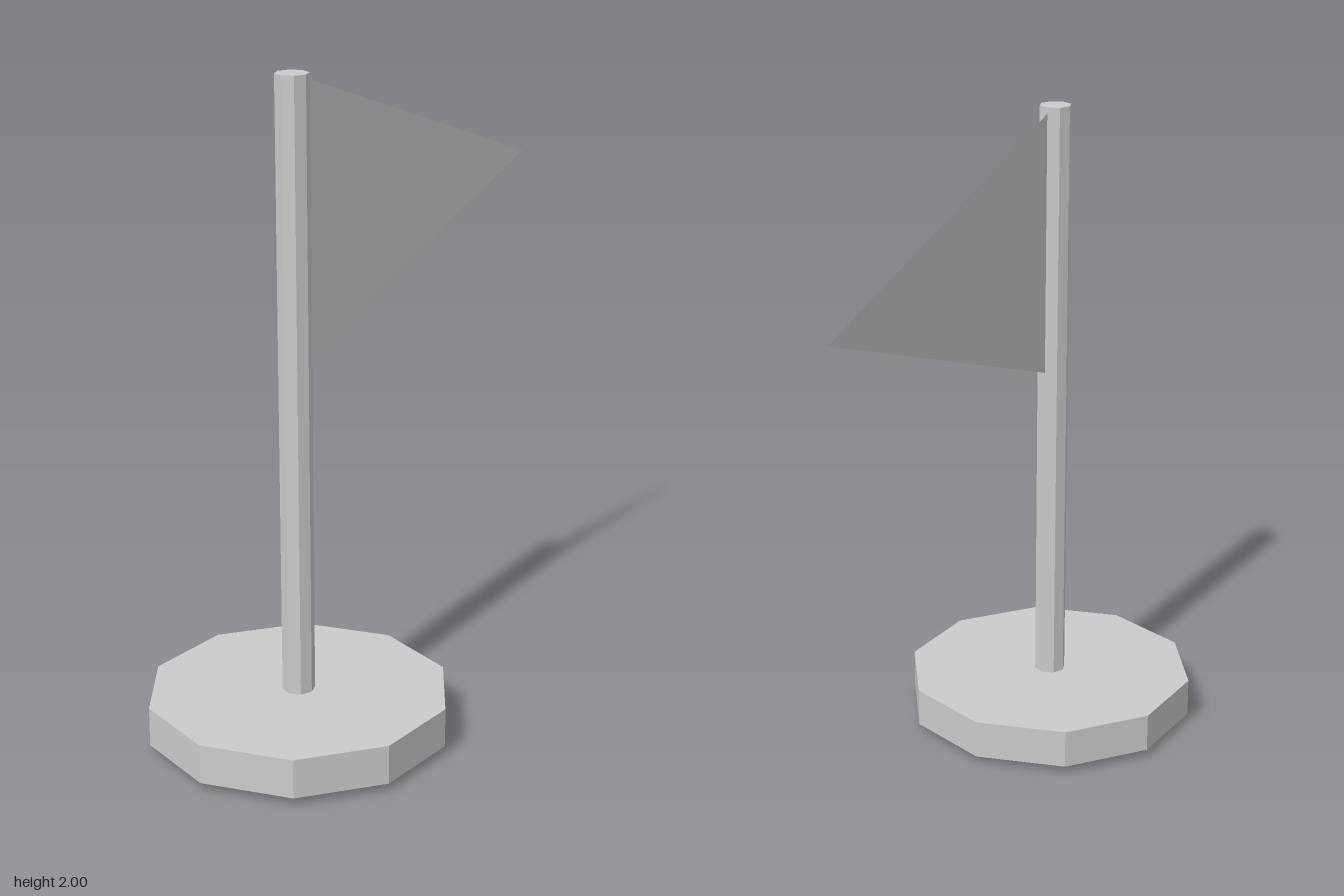
import * as THREE from 'three';

export function createModel() {
  const group = new THREE.Group();
  const solid = new THREE.MeshStandardMaterial({ color: 0xcccccc, flatShading: true });
  const thin = new THREE.MeshStandardMaterial({ color: 0xcccccc, flatShading: true, side: THREE.DoubleSide });
  const poleZ = 0.365;

  const add = (name, geometry, material, y, z) => {
    const mesh = new THREE.Mesh(geometry, material);
    mesh.name = name;
    mesh.position.set(0, y, z);
    group.add(mesh);
    return mesh;
  };

  // Octagonal pole, reaching down through the base
  add('pole', new THREE.CylinderGeometry(0.049, 0.049, 2, 8), solid, 1, poleZ);

  // Ten-sided base: a thin shell, closed on top and open underneath
  const baseRadius = 0.458, baseBottom = 0.025, baseTop = 0.145;
  add('baseRim', new THREE.CylinderGeometry(baseRadius, baseRadius, baseTop - baseBottom, 10, 1, true),
    thin, (baseTop + baseBottom) / 2, poleZ);
  const lid = new THREE.CircleGeometry(baseRadius, 10, Math.PI / 2).rotateX(-Math.PI / 2);
  add('baseTop', lid, thin, baseTop, poleZ);

  // Flat triangular pennant, attached at the pole's axis and pointing back
  const pennant = new THREE.Shape([
    new THREE.Vector2(0, 1.998),
    new THREE.Vector2(0, 1.155),
    new THREE.Vector2(1.188, 1.577),
  ]);
  add('pennant', new THREE.ShapeGeometry(pennant).rotateY(Math.PI / 2), thin, 0, poleZ);

  return group;
}
